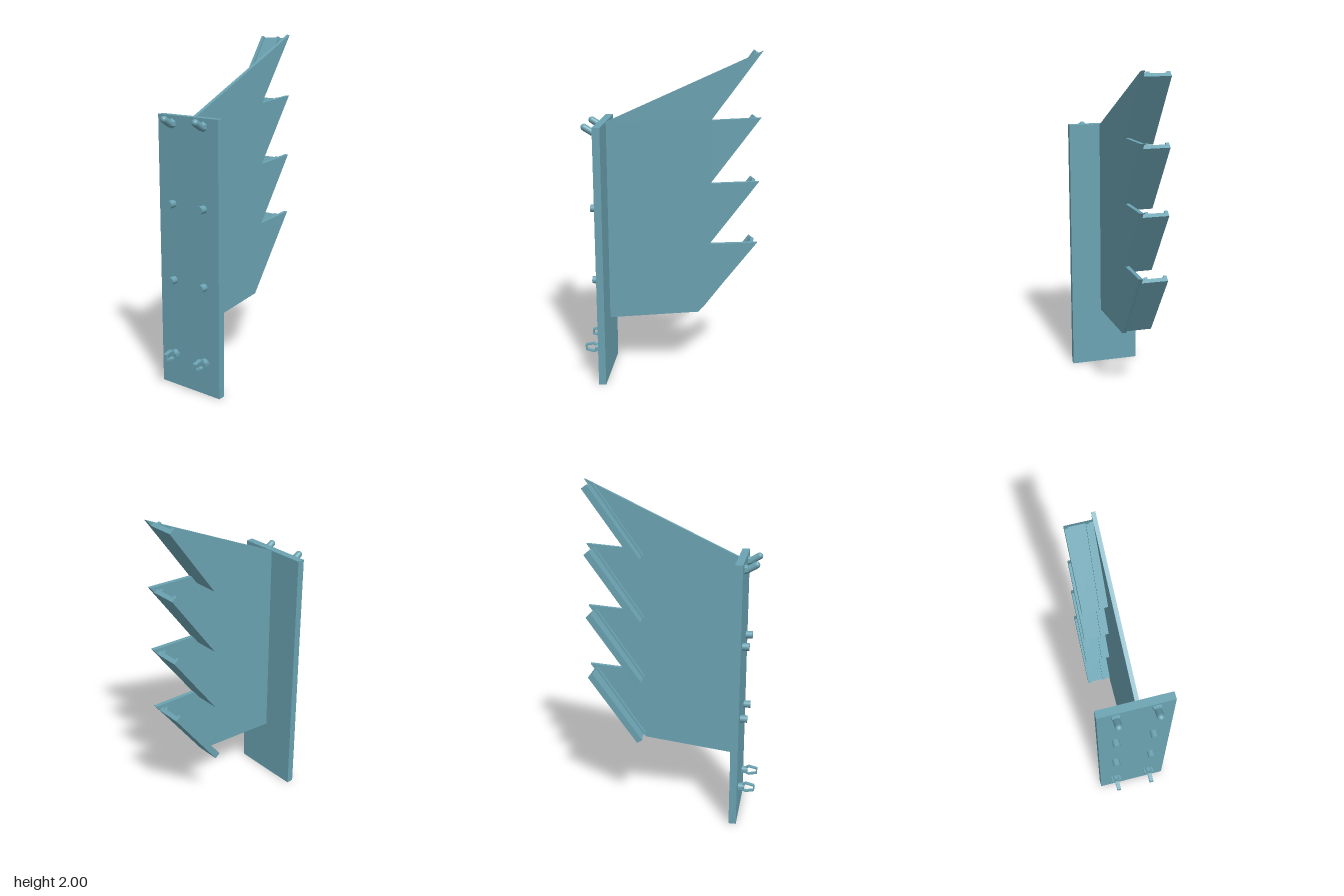
import * as THREE from 'three';

const material = new THREE.MeshStandardMaterial({ color: 0x6ba3b2, flatShading: true });
const smooth = new THREE.MeshStandardMaterial({ color: 0x6ba3b2 });

const FACE = 0.42; // front of the back plate
const TIPS = [2.0, 1.63, 1.26, 0.89]; // tooth tip heights

function add(parent, name, geometry, mat = material) {
  const mesh = new THREE.Mesh(geometry, mat);
  mesh.name = name;
  parent.add(mesh);
  return mesh;
}

function extrude(points, depth, hole) {
  const shape = new THREE.Shape(points.map(p => new THREE.Vector2(...p)));
  if (hole) shape.holes.push(new THREE.Path(hole.map(p => new THREE.Vector2(...p))));
  return new THREE.ExtrudeGeometry(shape, { depth, bevelEnabled: false });
}

// Extrudes a (z, y) outline sideways, from x0 to x0 + width
function sideProfile(points, x0, width, hole) {
  return extrude(points, width, hole).rotateY(-Math.PI / 2).translate(x0 + width, 0, 0);
}

// Round bar along z
function peg(z0, z1, r0, r1 = r0, sides = 20) {
  return new THREE.CylinderGeometry(r1, r0, z1 - z0, sides)
    .rotateX(Math.PI / 2).translate(0, 0, (z0 + z1) / 2);
}

// Sloping shelf with two slightly slanted raised rails
function makeTray() {
  const tray = new THREE.Group();
  tray.name = 'tray';
  const top = -0.04, bottom = -0.54;
  const slab = (xTop0, xTop1, xBot0, xBot1, z, depth) =>
    extrude([[xBot0, bottom], [xBot1, bottom], [xTop1, top], [xTop0, top]], depth).translate(0, 0, z);
  add(tray, 'trayPlate', slab(-0.15, 0.001, -0.145, 0.001, 0, 0.025));
  add(tray, 'outerRail', slab(-0.15, -0.131, -0.145, -0.126, 0.024, 0.014));
  add(tray, 'innerRail', slab(-0.039, -0.02, -0.05, -0.031, 0.024, 0.014));
  tray.rotation.x = -Math.atan2(0.28, 0.39);
  return tray;
}

// Upturned hook on a short flared foot
function makeHook() {
  const hook = new THREE.Group();
  hook.name = 'hook';
  add(hook, 'hookFoot', peg(FACE, FACE + 0.022, 0.028, 0.02, 6));
  const rod = add(hook, 'hookRod', new THREE.CapsuleGeometry(0.02, 0.055, 6, 20), smooth);
  rod.position.set(0, 0.013, 0.461);
  rod.rotation.x = Math.atan2(0.06, 0.036);
  return hook;
}

// Hollow spring clip with a pointed nose
function makeClip() {
  const clip = new THREE.Group();
  clip.name = 'clip';
  add(clip, 'clipFoot', peg(FACE, 0.452, 0.022), smooth);
  add(clip, 'clipBar', new THREE.BoxGeometry(0.06, 0.018, 0.035)).position.z = 0.437;
  const outline = [[0.445, -0.022], [0.465, -0.03], [0.516, -0.018], [0.516, 0.018], [0.465, 0.03], [0.445, 0.022]];
  const hole = [[0.452, -0.016], [0.466, -0.022], [0.509, -0.012], [0.509, 0.012], [0.466, 0.022], [0.452, 0.016]];
  add(clip, 'clipLoop', sideProfile(outline, -0.012, 0.024, hole));
  return clip;
}

export function createModel() {
  const model = new THREE.Group();
  model.name = 'trayBracket';

  const plate = add(model, 'backPlate', new THREE.BoxGeometry(0.426, 1.59, 0.044));
  plate.position.set(-0.002, 0.795, 0.398);

  // Saw-toothed fin standing out from the plate
  const outline = [[0.38, 0.365], [0.38, 1.585]];
  TIPS.forEach((y, i) => {
    outline.push([-0.51, y]);
    outline.push(i < 3 ? [-0.23, y - 0.39] : [-0.17, 0.43]);
  });
  add(model, 'toothedFin', sideProfile(outline, 0, 0.023));

  // One tray along each tooth
  for (const y of TIPS) {
    const tray = makeTray();
    tray.position.set(0, y, -0.51);
    model.add(tray);
  }

  // Mounting hardware in two columns
  for (const x of [-0.113, 0.109]) {
    const hook = makeHook();
    hook.position.set(x, 1.545, 0);
    const clip = makeClip();
    clip.position.set(x, 0.2, 0);
    model.add(hook, clip);
    for (const y of [0.647, 1.094]) {
      add(model, 'mountingPeg', peg(FACE - 0.005, 0.46, 0.022), smooth).position.set(x, y, 0);
    }
  }
  return model;
}
